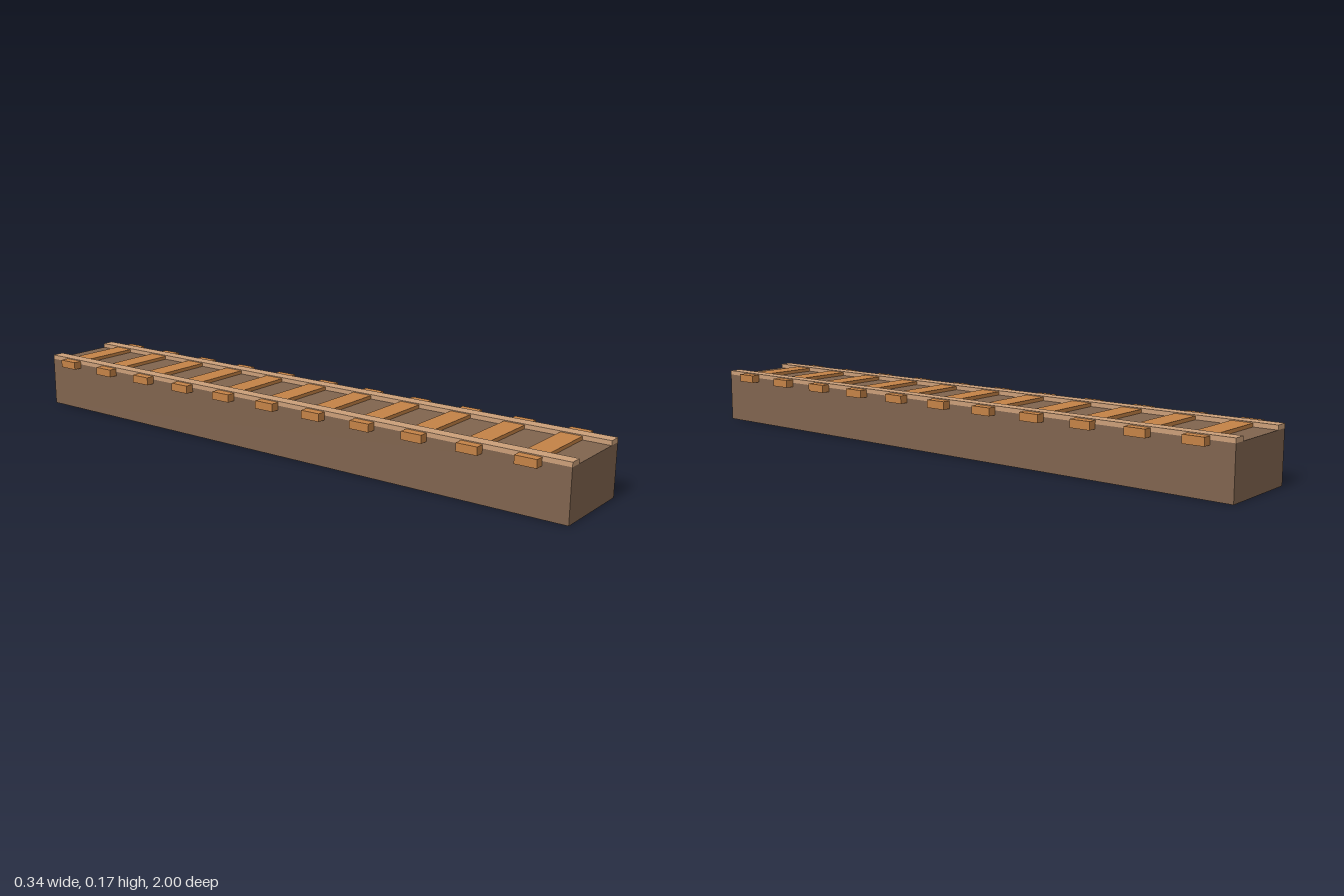
import * as THREE from 'three';

export function createModel() {
  const model = new THREE.Group();
  const earth = new THREE.MeshStandardMaterial({ color: 0x80644e });
  const wood = new THREE.MeshStandardMaterial({ color: 0xc48246 });
  const paleWood = new THREE.MeshStandardMaterial({ color: 0xcb9f79 });

  // Box spanning bottom..top in height, centred on x and z
  function addBox(name, material, width, bottom, top, length, x = 0, z = 0) {
    const mesh = new THREE.Mesh(new THREE.BoxGeometry(width, top - bottom, length), material);
    mesh.name = name;
    mesh.position.set(x, (bottom + top) / 2, z);
    model.add(mesh);
  }

  // Solid track bed
  addBox('trackBed', earth, 0.28, 0, 0.161, 2);

  // Rails along both edges of the bed
  addBox('leftRail', paleWood, 0.04, 0.161, 0.175, 2, 0.12);
  addBox('rightRail', paleWood, 0.04, 0.161, 0.175, 2, -0.12);

  // Evenly spaced cross ties that stick out past the bed
  const tieCount = 11;
  const spacing = 0.1773;
  for (let i = 0; i < tieCount; i++) {
    const z = (i - (tieCount - 1) / 2) * spacing - 0.006;
    addBox(`tie${i + 1}`, wood, 0.337, 0.147, 0.172, 0.067, 0, z);
  }

  return model;
}
